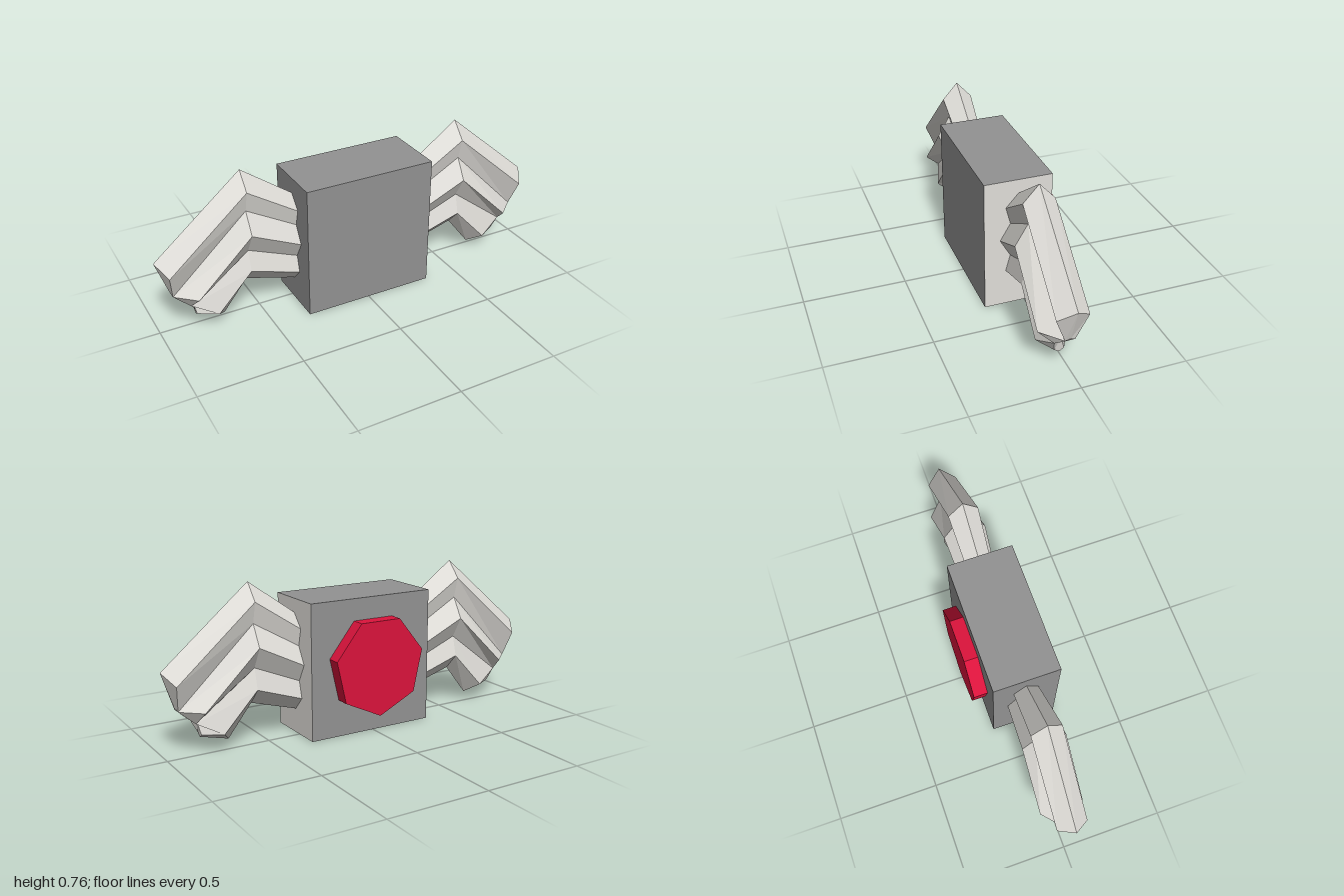
import * as THREE from 'three';

const grey = new THREE.MeshStandardMaterial({ color: 0x929292 });
grey.name = 'grey';
const pale = new THREE.MeshStandardMaterial({ color: 0xe0ded9 });
pale.name = 'pale';
const crimson = new THREE.MeshStandardMaterial({ color: 0xdc143c });
crimson.name = 'crimson';
for (const m of [grey, pale, crimson]) m.flatShading = true;

const MID_Z = 0.033; // centre plane of the wings

// Faces of one half (+x, +z) of a wing, as corner lists
function wingFaces() {
  // half profile at the elbow: [y, half thickness], top ridge to bottom ridge
  const profile = [[0.763, 0], [0.68, 0.075], [0.577, 0.048], [0.475, 0.108],
    [0.37, 0.048], [0.27, 0.075], [0.19, 0]];
  const elbow = profile.map(([y, z]) => [0.57, y, z]);
  const root = profile.map(([y, z]) => [0.30, 0.11 + (y - 0.19) * 0.8, z * 0.8]);
  const tip = [[1, 0.4, 0], [0.955, 0.345, 0.075], [0.935, 0.215, 0.023], [0.84, 0.215, 0.108],
    [0.86, 0.15, 0.037], [0.74, 0.088, 0.075], [0.69, 0.037, 0]];
  const faces = [];
  for (const [a, b] of [[root, elbow], [elbow, tip]]) {
    for (let j = 0; j < 6; j++) faces.push([a[j], a[j + 1], b[j + 1], b[j]]);
  }
  // feather ends
  const [T, R1, V1, R2, V2, R3, B] = tip;
  const C = [0.94, 0.226, 0];
  const N2 = [0.9, 0.183, 0.008], N2c = [0.9, 0.183, 0];
  const N3 = [0.84, 0.136, 0.008], N3c = [0.84, 0.136, 0];
  const E = [0.83, 0.088, 0.023], EB = [0.83, 0.073, 0];
  faces.push([T, R1, V1, C], [R2, V2, N2, V1], [V2, R3, E, N3], [R3, B, EB, E],
    [C, V1, N2, N2c], [N2, V2, N3], [N2c, N2, N3, N3c], [N3c, N3, E, EB]);
  return faces;
}

// Mirror the half front to back, and for side = -1 left to right
function wing(side, name) {
  const pos = [];
  for (const front of [1, -1]) {
    for (const face of wingFaces()) {
      const f = face.map(([x, y, z]) => [x * side, y, MID_Z + z * front]);
      if (side * front < 0) f.reverse();
      for (let i = 1; i < f.length - 1; i++) pos.push(...f[0], ...f[i], ...f[i + 1]);
    }
  }
  const geo = new THREE.BufferGeometry();
  geo.setAttribute('position', new THREE.Float32BufferAttribute(pos, 3));
  geo.computeVertexNormals();
  const mesh = new THREE.Mesh(geo, pale);
  mesh.name = name;
  return mesh;
}

export function createModel() {
  const model = new THREE.Group();
  model.name = 'wingedBlock';

  // Block, with a pale left face
  const block = new THREE.Mesh(new THREE.BoxGeometry(0.657, 0.661, 0.327),
    [pale, grey, grey, grey, grey, grey]);
  block.position.set(0.007, 0.3305, 0.035);
  block.name = 'block';
  model.add(block);

  // Seven-sided button on the back, one corner down
  const button = new THREE.Mesh(new THREE.CylinderGeometry(0.245, 0.245, 0.08, 7), crimson);
  button.rotation.x = Math.PI / 2;
  button.position.set(0, 0.334, -0.157);
  button.name = 'backButton';
  model.add(button);

  model.add(wing(1, 'leftWing'), wing(-1, 'rightWing'));
  return model;
}
